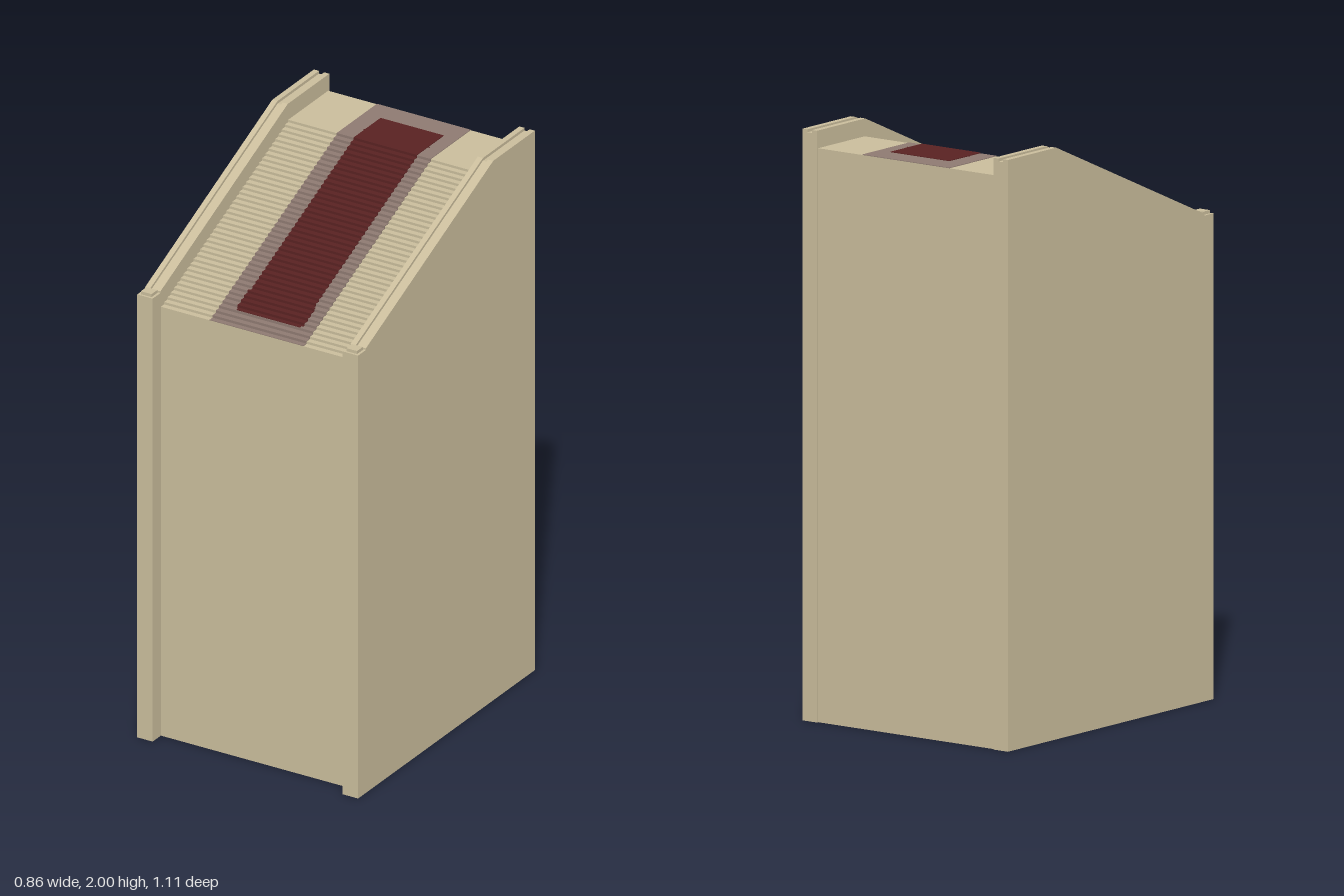
import * as THREE from 'three';

const STEPS = 39, LANDING_Z = -0.298, BACK = -0.55, FRONT = 0.505;
const TOP = 1.94, BOTTOM = 1.59;
const RUN = (FRONT - LANDING_Z) / STEPS, RISE = (TOP - BOTTOM) / STEPS;

// Extrudes a [z, y] profile from x0 to x1
function extrudeX(profile, x0, x1) {
  const shape = new THREE.Shape(profile.map(([z, y]) => new THREE.Vector2(-z, y)));
  return new THREE.ExtrudeGeometry(shape, { depth: x1 - x0, bevelEnabled: false })
    .rotateY(Math.PI / 2).translate(x0, 0, 0);
}

// Stair line from z0 to z1, raised by a small offset
function stairPath(z0, z1, off = 0) {
  const pts = [];
  let y = TOP;
  for (let k = 0; k < STEPS; k++) {
    const z = LANDING_Z + k * RUN;
    if (z >= z1) break;
    if (z > z0) {
      if (!pts.length) pts.push([z0, y + off]);
      const zz = Math.min(z + off, z1);
      pts.push([zz, y + off], [zz, y - RISE + off]);
    }
    y -= RISE;
  }
  pts.push([z1, y + off]);
  return pts;
}

export function createModel() {
  const group = new THREE.Group();
  const stone = new THREE.MeshStandardMaterial({ color: 0xcabd9c });
  stone.name = 'sandstone';
  const border = new THREE.MeshStandardMaterial({ color: 0x8e7a71 });
  border.name = 'mauve carpet border';
  const red = new THREE.MeshStandardMaterial({ color: 0x592222 });
  red.name = 'dark red carpet';

  const add = (name, geometry, material, parent = group) => {
    const mesh = new THREE.Mesh(geometry, material);
    mesh.name = name;
    parent.add(mesh);
    return mesh;
  };

  // Solid block with the stairs and landing on top
  add('stairBlock', extrudeX([[BACK, 0], ...stairPath(BACK, FRONT), [FRONT, 0]], -0.372, 0.372), stone);

  // Carpet strips that follow the steps
  const carpet = (name, x0, x1, z0, z1, off, material) =>
    add(name, extrudeX([...stairPath(z0, z1, off), ...stairPath(z0, z1).reverse()], x0, x1), material);
  carpet('carpetBorder', -0.18, 0.185, BACK, FRONT, 0.002, border);
  carpet('carpetCentre', -0.113, 0.133, -0.464, 0.443, 0.004, red);
  carpet('carpetUpperEnd', -0.12, 0.14, -0.456, -0.365, 0.004, red);
  carpet('carpetLowerEnd', -0.12, 0.14, 0.355, 0.431, 0.004, red);

  // Side walls with a shallow groove along the top, ending in front posts
  const wallProfile = (drop) => [
    [-0.557, 0], [-0.557, 2 - drop], [-0.295, 2 - drop], [0.508, 1.648 - drop], [0.508, 0],
  ];
  for (const [side, name] of [[1, 'left'], [-1, 'right']]) {
    const wall = new THREE.Group();
    wall.name = name + 'Wall';
    group.add(wall);
    const cx = side * 0.4;
    add('outerRail', extrudeX(wallProfile(0), cx - 0.03, cx - 0.01), stone, wall);
    add('groove', extrudeX(wallProfile(0.01), cx - 0.01, cx + 0.01), stone, wall);
    add('innerRail', extrudeX(wallProfile(0), cx + 0.01, cx + 0.03), stone, wall);
    add('frontPost', new THREE.BoxGeometry(0.06, 1.642, 0.05), stone, wall).position.set(cx, 0.821, 0.532);
    add('postCap', new THREE.BoxGeometry(0.042, 0.012, 0.036), stone, wall).position.set(cx, 1.647, 0.531);
  }
  return group;
}
